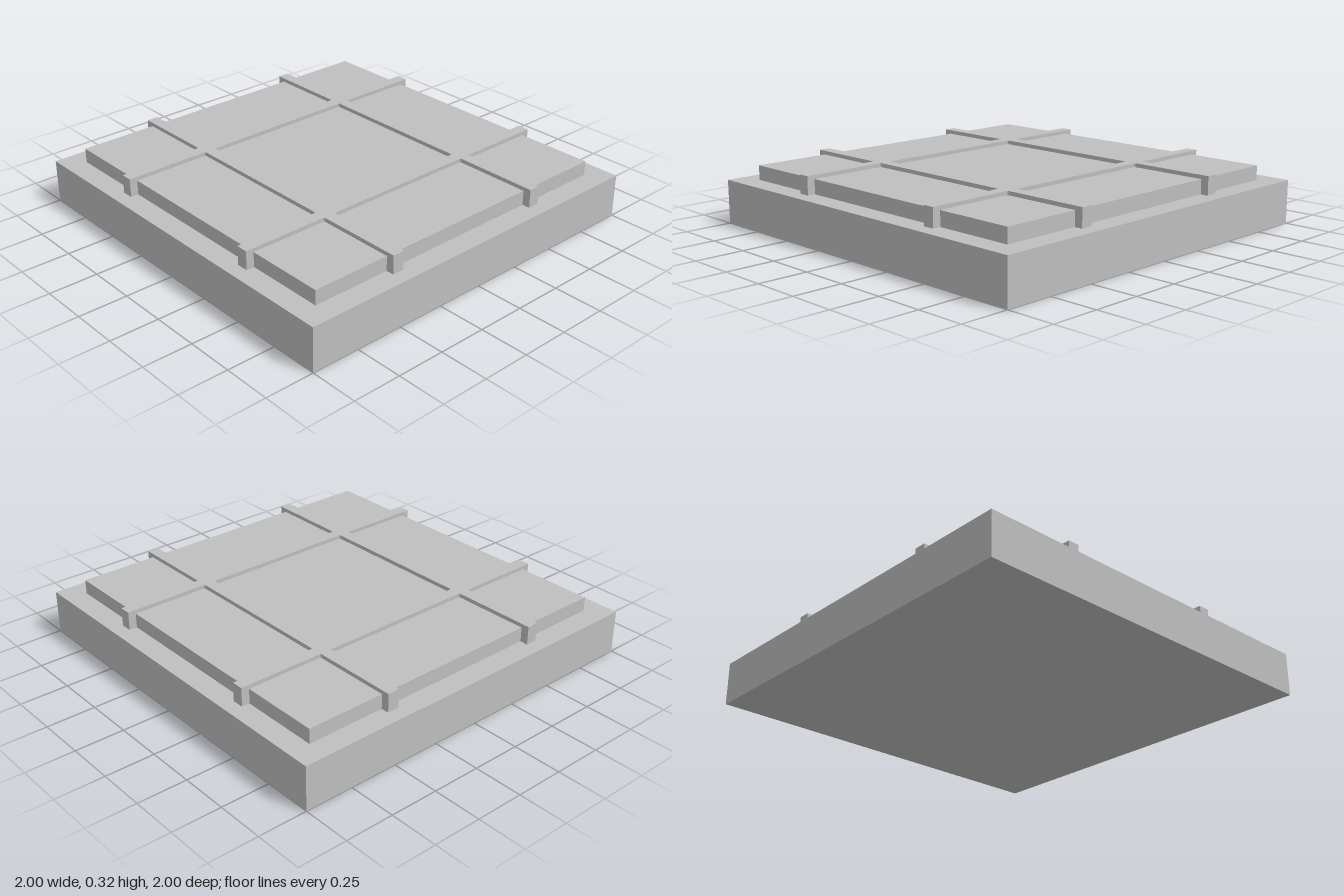
import * as THREE from 'three';

const BASE_TOP = 0.225, PANEL_TOP = 0.3, STRIP_TOP = 0.32;

export function createModel() {
  const model = new THREE.Group();
  model.name = 'strappedSlab';
  const grey = new THREE.MeshStandardMaterial({ color: 0xbfbfbf });
  grey.name = 'lightGrey';

  const add = (name, geometry, y) => {
    const mesh = new THREE.Mesh(geometry, grey);
    mesh.name = name;
    mesh.position.y = y;
    model.add(mesh);
  };

  // Square plinth and the raised panel on it
  add('base', new THREE.BoxGeometry(2, BASE_TOP, 2), BASE_TOP / 2);
  const panelHeight = PANEL_TOP - BASE_TOP;
  add('raisedPanel', new THREE.BoxGeometry(1.774, panelHeight, 1.774), BASE_TOP + panelHeight / 2);

  // Four crossing strips as one lattice: a quarter outline turned four times,
  // with tiny chamfers in the inside corners
  const end = 0.928, outer = 0.479, inner = 0.419, c = 0.005;
  const quarter = [
    [outer, -outer - c], [outer + c, -outer], [end, -outer], [end, -inner],
    [outer + c, -inner], [outer, -inner + c], [outer, inner - c], [outer + c, inner],
    [end, inner], [end, outer],
  ];
  const holeQuarter = [[inner, -inner + c], [inner, inner - c]];
  const turnFour = (points) => {
    const loop = [];
    for (let k = 0; k < 4; k++) {
      for (const [x, y] of points) {
        loop.push(new THREE.Vector2(x, y).rotateAround(new THREE.Vector2(), k * Math.PI / 2));
      }
    }
    return loop;
  };
  const shape = new THREE.Shape(turnFour(quarter));
  shape.holes.push(new THREE.Path(turnFour(holeQuarter)));
  const lattice = new THREE.ExtrudeGeometry(shape, { depth: STRIP_TOP - BASE_TOP, bevelEnabled: false });
  lattice.rotateX(-Math.PI / 2);
  add('crossingStrips', lattice, BASE_TOP);

  return model;
}
